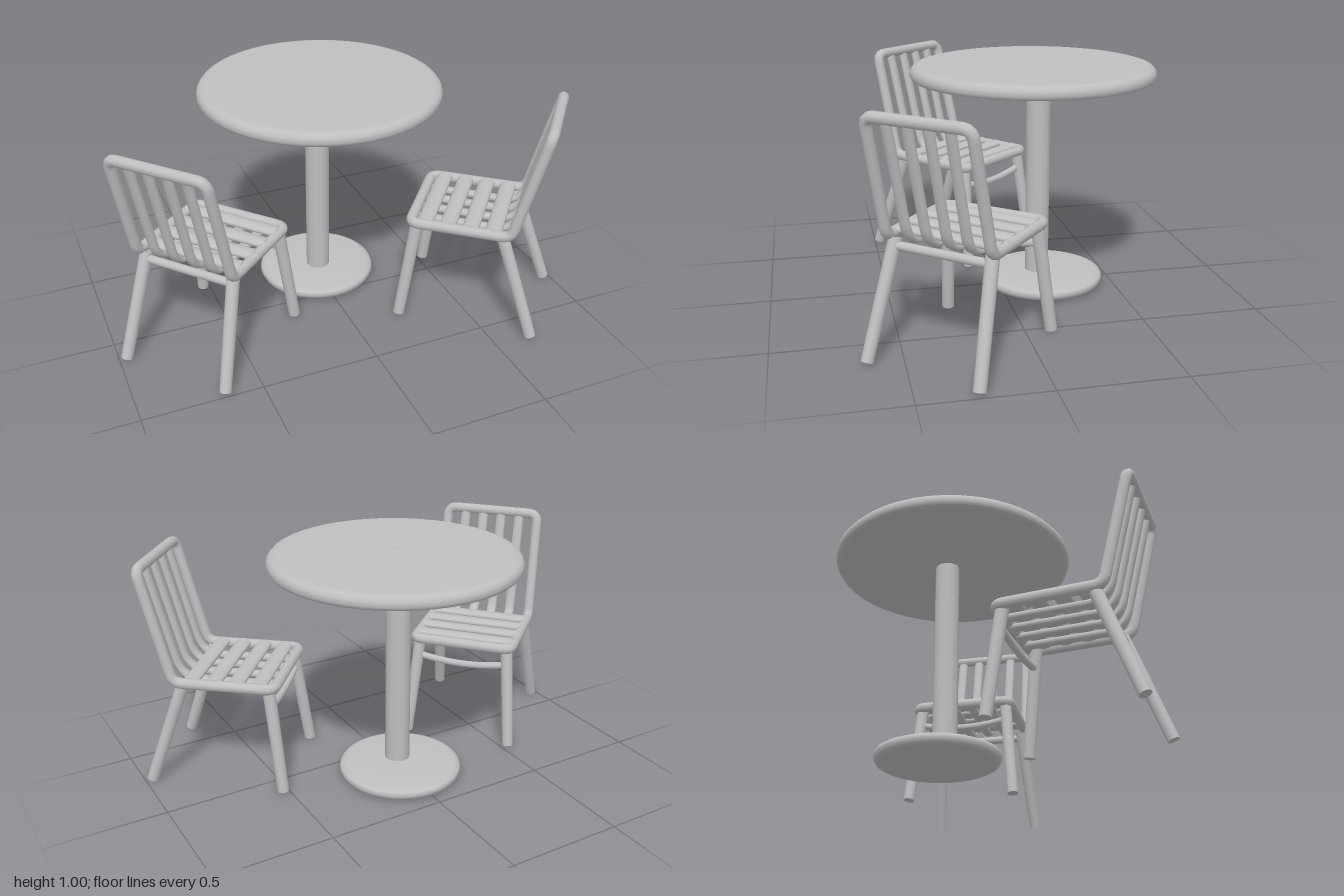
import * as THREE from 'three';

const grey = new THREE.MeshStandardMaterial({ color: 0xbfbfbf });
grey.name = 'grey metal';
const V = (x, y, z) => new THREE.Vector3(x, y, z);

function add(parent, name, geometry) {
  const mesh = new THREE.Mesh(geometry, grey);
  mesh.name = name;
  parent.add(mesh);
  return mesh;
}

// Path of straight runs joined by rounded corners
function roundedPath(points, bend, closed = false) {
  const path = new THREE.CurvePath();
  const n = points.length;
  const toward = (a, b) => a.clone().add(b.clone().sub(a).setLength(bend));
  const first = closed ? toward(points[0], points[1]) : points[0];
  let last = first;
  for (let i = 1; i < (closed ? n + 1 : n - 1); i++) {
    const p = points[i % n];
    const before = toward(p, points[i - 1]);
    const after = toward(p, points[(i + 1) % n]);
    path.add(new THREE.LineCurve3(last, before));
    path.add(new THREE.QuadraticBezierCurve3(before, p, after));
    last = after;
  }
  if (!closed) path.add(new THREE.LineCurve3(last, points[n - 1]));
  return path;
}

// Straight round bar between two points, with closed ends
function bar(parent, name, a, b, rA, rB = rA) {
  const mesh = add(parent, name, new THREE.CylinderGeometry(rB, rA, a.distanceTo(b), 12));
  mesh.position.copy(a).lerp(b, 0.5);
  mesh.quaternion.setFromUnitVectors(V(0, 1, 0), b.clone().sub(a).normalize());
  return mesh;
}

// Chair facing +z, standing on y = 0
function createChair(name) {
  const chair = new THREE.Group();
  chair.name = name;

  // One bent tube forms the seat sides, seat front and back outline
  const side = [V(0.222, 0.468, 0.262), V(0.222, 0.468, -0.165), V(0.215, 0.943, -0.282)];
  const mirrored = side.map(p => V(-p.x, p.y, p.z)).reverse();
  const outline = roundedPath([...side, ...mirrored], 0.04, true);
  add(chair, 'seatAndBackFrame', new THREE.TubeGeometry(outline, 160, 0.023, 10, true));

  // Splayed legs
  for (const s of [-1, 1]) {
    bar(chair, 'frontLeg', V(s * 0.24, 0.008, 0.29), V(s * 0.2, 0.465, 0.235), 0.025, 0.027);
    bar(chair, 'backLeg', V(s * 0.24, 0.008, -0.29), V(s * 0.205, 0.455, -0.13), 0.025, 0.027);
  }
  bar(chair, 'rearCrossbar', V(-0.21, 0.427, -0.14), V(0.21, 0.427, -0.14), 0.018);

  // Bowed stretcher between the front legs
  const bow = new THREE.QuadraticBezierCurve3(V(-0.21, 0.385, 0.245), V(0, 0.335, 0.235), V(0.21, 0.385, 0.245));
  add(chair, 'frontStretcher', new THREE.TubeGeometry(bow, 16, 0.016, 8));

  // Back slats bend forward and run beneath the seat
  const slatPath = roundedPath([V(0, 0.945, -0.282), V(0, 0.449, -0.158), V(0, 0.452, 0.26)], 0.085);
  const slatGeometry = new THREE.TubeGeometry(slatPath, 60, 0.015, 8);
  for (let i = 0; i < 4; i++) {
    const slat = add(chair, 'backSlat', slatGeometry);
    slat.scale.x = 1.6;
    slat.position.x = (i - 1.5) * 0.086;
  }

  // Flattened slats across the seat
  for (let i = 0; i < 4; i++) {
    const z = -0.09 + i * 0.096;
    const slat = bar(chair, 'seatSlat', V(-0.22, 0.478, z), V(0.22, 0.478, z), 0.016);
    slat.rotation.set(0, 0, Math.PI / 2);
    slat.scale.z = 2.2;
  }
  return chair;
}

function createTable() {
  const table = new THREE.Group();
  table.name = 'table';
  const lathe = (name, profile, z) => {
    const mesh = add(table, name, new THREE.LatheGeometry(profile.map(p => new THREE.Vector2(...p)), 48));
    mesh.position.set(0.01, 0, z);
  };
  // Round top with a soft rim
  lathe('tableTop', [[0, 0.93], [0.25, 0.93], [0.49, 0.93], [0.512, 0.935], [0.521, 0.95],
    [0.518, 0.97], [0.505, 0.985], [0.48, 0.992], [0.25, 0.993], [0.05, 0.995], [0, 1.0]], -0.145);
  // Column
  bar(table, 'column', V(0.007, 0.03, -0.172), V(0.007, 0.94, -0.172), 0.053);
  // Disc foot
  lathe('baseDisc', [[0, 0.002], [0.12, 0.002], [0.235, 0.003], [0.255, 0.012], [0.264, 0.03],
    [0.258, 0.046], [0.235, 0.056], [0.12, 0.059], [0, 0.062]], -0.2);
  return table;
}

export function createModel() {
  const model = new THREE.Group();
  model.name = 'tableAndChairs';
  model.add(createTable());

  // Two chairs turned toward the table
  const leftChair = createChair('leftChair');
  leftChair.position.set(0.594, 0, 0.268);
  leftChair.rotation.y = Math.atan2(-0.765, -0.645);
  const rightChair = createChair('rightChair');
  rightChair.position.set(-0.592, 0, 0.106);
  rightChair.rotation.y = Math.atan2(0.755, -0.655);
  model.add(leftChair, rightChair);
  return model;
}
